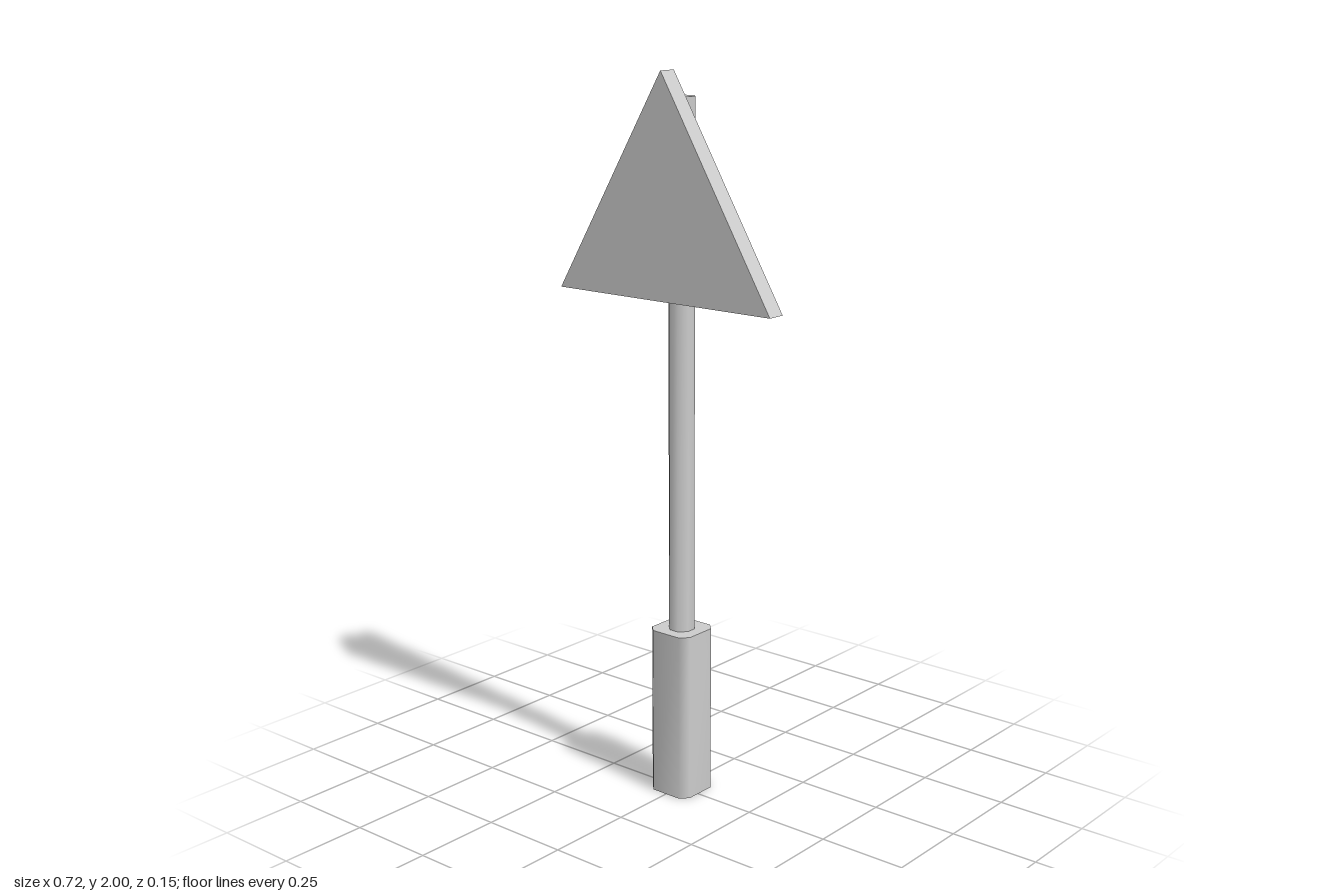
import * as THREE from 'three';
import { mergeVertices, mergeGeometries } from 'three/addons/utils/BufferGeometryUtils.js';

const material = new THREE.MeshStandardMaterial({ color: 0xcccccc });
const hollowMaterial = new THREE.MeshStandardMaterial({ color: 0xcccccc, side: THREE.DoubleSide });
const POST_Z = -0.009;

// Square column with bevelled corners: smooth walls, flat top, open underneath.
function bevelledColumn(half, bevel, bottom, top) {
  const height = top - bottom;
  const flat = half - bevel;
  const walls = new THREE.CylinderGeometry(half, half, height, 8, 1, true).rotateY(Math.PI / 8);
  const pos = walls.attributes.position;
  for (let i = 0; i < pos.count; i++) {
    const x = pos.getX(i), z = pos.getZ(i);
    const wide = Math.abs(x) > Math.abs(z);
    pos.setX(i, Math.sign(x) * (wide ? half : flat));
    pos.setZ(i, Math.sign(z) * (wide ? flat : half));
  }
  // Weld the seam so the shading runs smoothly around the column
  walls.deleteAttribute('normal');
  walls.deleteAttribute('uv');
  const smoothWalls = mergeVertices(walls);
  smoothWalls.computeVertexNormals();

  const outline = new THREE.Shape([
    [half, -flat], [half, flat], [flat, half], [-flat, half],
    [-half, flat], [-half, -flat], [-flat, -half], [flat, -half],
  ].map(([x, y]) => new THREE.Vector2(x, y)));
  const cap = new THREE.ShapeGeometry(outline).rotateX(-Math.PI / 2).translate(0, height / 2, 0);
  cap.deleteAttribute('uv');

  return mergeGeometries([smoothWalls, cap]).translate(0, bottom + height / 2, POST_Z);
}

export function createModel() {
  const model = new THREE.Group();
  model.name = 'triangularRoadSign';

  const add = (name, geometry, mat) => {
    const mesh = new THREE.Mesh(geometry, mat);
    mesh.name = name;
    model.add(mesh);
  };

  // Thick sleeve at the foot and the slim post standing on it
  add('base', bevelledColumn(0.068, 0.022, 0, 0.478), hollowMaterial);
  add('post', bevelledColumn(0.034, 0.02, 0.478, 1.932), hollowMaterial);

  // Triangular plate fixed to the front of the post
  const triangle = new THREE.Shape([
    new THREE.Vector2(-0.358, 1.406),
    new THREE.Vector2(0.358, 1.406),
    new THREE.Vector2(0, 2),
  ]);
  const plate = new THREE.ExtrudeGeometry(triangle, { depth: 0.053, bevelEnabled: false });
  add('signPlate', plate.translate(0, 0, 0.023), material);

  return model;
}
